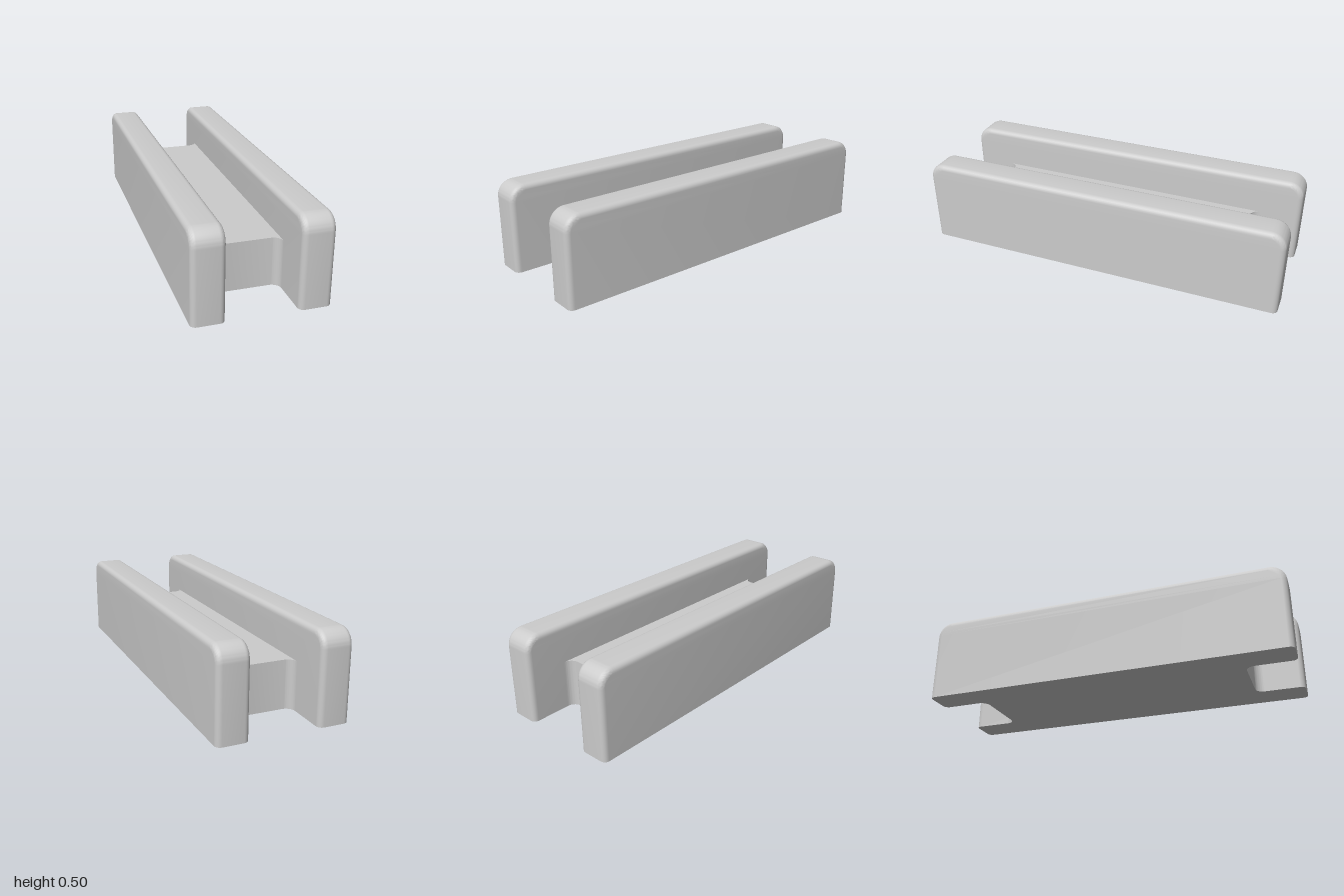
import * as THREE from 'three';
import { toCreasedNormals } from 'three/addons/utils/BufferGeometryUtils.js';

const HEIGHT = 0.497;
const HALF_LENGTH = 1.066; // rails, along local x
const INNER = 0.19;        // rail faces, along local z
const OUTER = 0.366;
const ROUND = 0.03;        // small edge rounding
const CORNER = 0.09;       // large rounding of the top corners

const material = new THREE.MeshStandardMaterial({ color: 0xcccccc });

// Side profile with round top corners, extruded with rounded edges and cut flat at y = 0
function railGeometry() {
  const L = HALF_LENGTH, s = new THREE.Shape();
  s.moveTo(-L, -0.1);
  s.lineTo(L, -0.1);
  s.lineTo(L, HEIGHT - CORNER);
  s.absarc(L - CORNER, HEIGHT - CORNER, CORNER, 0, Math.PI / 2, false);
  s.lineTo(-L + CORNER, HEIGHT);
  s.absarc(-L + CORNER, HEIGHT - CORNER, CORNER, Math.PI / 2, Math.PI, false);
  s.closePath();
  const width = OUTER - INNER;
  const g = new THREE.ExtrudeGeometry(s, {
    depth: width - 2 * ROUND, curveSegments: 10, bevelEnabled: true,
    bevelThickness: ROUND, bevelSize: ROUND, bevelOffset: -ROUND, bevelSegments: 6,
  });
  g.translate(0, 0, -width / 2 + ROUND);
  const p = g.attributes.position;
  for (let i = 0; i < p.count; i++) p.setY(i, Math.max(0, p.getY(i)));
  return toCreasedNormals(g, 0.6);
}

// Flat plate whose ends flare into the rails with concave fillets
function plateGeometry() {
  const e = 0.786, f = 0.05, w = INNER, h = Math.PI / 2;
  const s = new THREE.Shape();
  s.moveTo(-e - f, -w);
  s.lineTo(e + f, -w);
  s.absarc(e + f, -w + f, f, -h, -Math.PI, true);
  s.lineTo(e, w - f);
  s.absarc(e + f, w - f, f, Math.PI, h, true);
  s.lineTo(-e - f, w);
  s.absarc(-e - f, w - f, f, h, 0, true);
  s.lineTo(-e, -w + f);
  s.absarc(-e - f, -w + f, f, 0, -h, true);
  const g = new THREE.ExtrudeGeometry(s, { depth: 0.276, bevelEnabled: false, curveSegments: 8 });
  g.rotateX(-Math.PI / 2);
  return toCreasedNormals(g, 0.6);
}

export function createModel() {
  const model = new THREE.Group();
  model.name = 'railChannel';

  // Diagonal placement
  const body = new THREE.Group();
  body.name = 'body';
  body.rotation.y = -Math.PI / 4;
  model.add(body);

  const rail = railGeometry();
  for (const [name, side] of [['frontRail', 1], ['backRail', -1]]) {
    const mesh = new THREE.Mesh(rail, material);
    mesh.name = name;
    mesh.position.z = side * (INNER + OUTER) / 2;
    body.add(mesh);
  }

  const plate = new THREE.Mesh(plateGeometry(), material);
  plate.name = 'connectingPlate';
  body.add(plate);

  return model;
}
